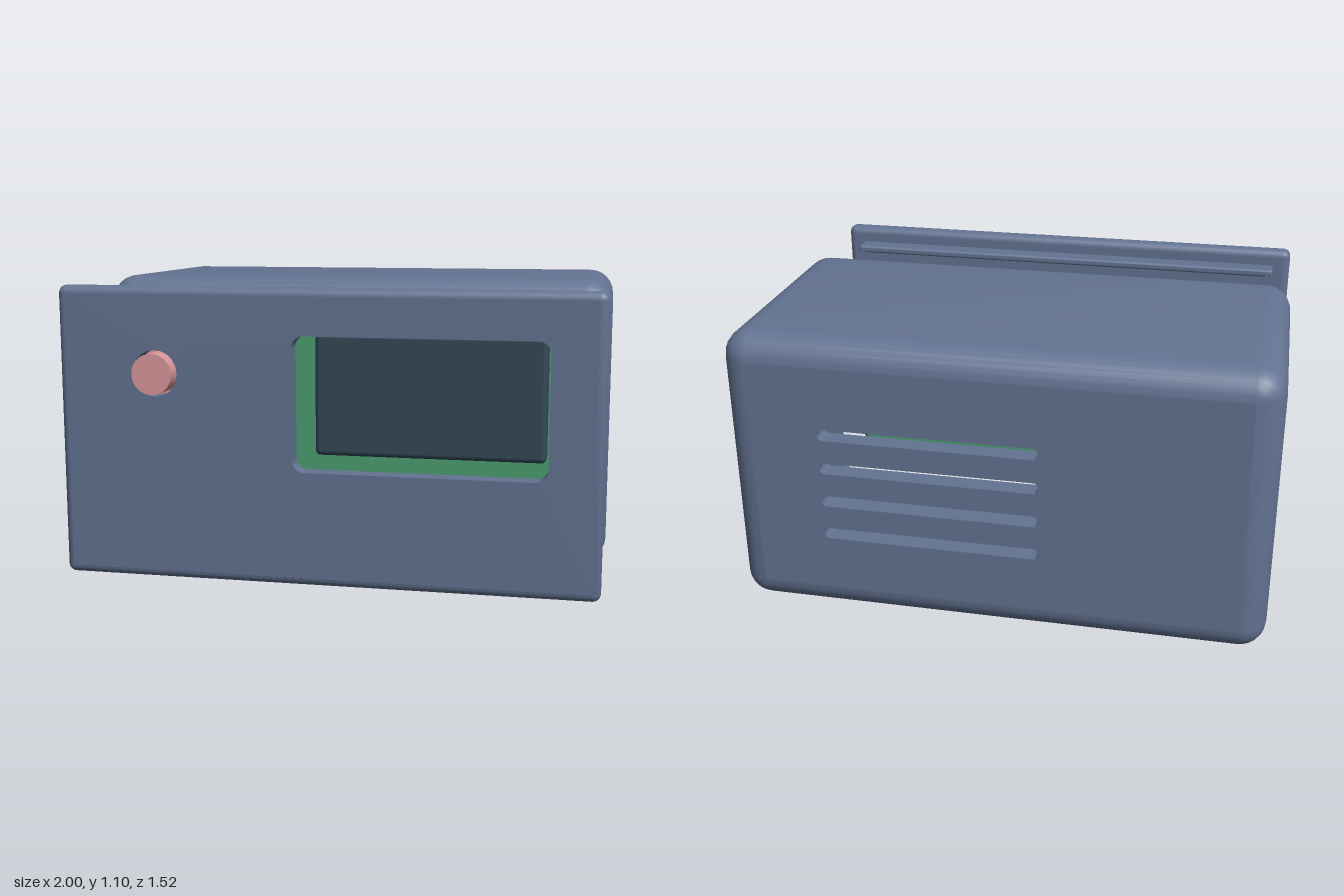
import * as THREE from 'three';
import { toCreasedNormals } from 'three/addons/utils/BufferGeometryUtils.js';
import { RoundedBoxGeometry } from 'three/addons/geometries/RoundedBoxGeometry.js';

const N = 6; // segments per rounded corner

const material = (name, color) => {
  const m = new THREE.MeshStandardMaterial({ color });
  m.name = name;
  return m;
};

// Rounded rectangle outline, given its limits
function roundRect(target, x0, x1, y0, y1, r) {
  target.absarc(x1 - r, y1 - r, r, 0, Math.PI / 2);
  target.absarc(x0 + r, y1 - r, r, Math.PI / 2, Math.PI);
  target.absarc(x0 + r, y0 + r, r, Math.PI, Math.PI * 1.5);
  target.absarc(x1 - r, y0 + r, r, Math.PI * 1.5, Math.PI * 2);
  target.closePath();
  return target;
}

// Flat plate with holes, extruded along +z
function plate(x0, x1, y0, y1, depth, holes) {
  const shape = new THREE.Shape([[x0, y0], [x1, y0], [x1, y1], [x0, y1]].map(p => new THREE.Vector2(...p)));
  shape.holes.push(...holes);
  return new THREE.ExtrudeGeometry(shape, { depth, bevelEnabled: false, curveSegments: 10 });
}

// Skin through rounded rectangles; each profile point is [inset, z]
function loft(profile, halfW, halfH, cy, r, skip = () => false) {
  const pos = [], index = [], M = 4 * (N + 1);
  for (const [inset, z] of profile) {
    const cr = Math.max(r - inset, 0.0005);
    for (let c = 0; c < 4; c++) {
      const sx = c === 0 || c === 3 ? 1 : -1, sy = c < 2 ? 1 : -1;
      for (let i = 0; i <= N; i++) {
        const a = (c + i / N) * Math.PI / 2;
        pos.push(sx * (halfW - inset - cr) + cr * Math.cos(a),
          cy + sy * (halfH - inset - cr) + cr * Math.sin(a), z);
      }
    }
  }
  for (let k = 0; k < profile.length - 1; k++) {
    for (let j = 0; j < M; j++) {
      if (skip(k, j)) continue;
      const a = k * M + j, b = k * M + (j + 1) % M;
      index.push(a, b, b + M, a, b + M, a + M);
    }
  }
  const g = new THREE.BufferGeometry();
  g.setAttribute('position', new THREE.Float32BufferAttribute(pos, 3));
  g.setIndex(index);
  return toCreasedNormals(g, 0.6);
}

export function createModel() {
  const model = new THREE.Group();
  const casing = material('slate casing', 0x637392);
  const green = material('board green', 0x4c9f70);
  const dark = material('screen dark', 0x324857);
  const pink = material('button pink', 0xd9979c);

  const group = name => {
    const g = new THREE.Group();
    g.name = name;
    model.add(g);
    return g;
  };
  const add = (parent, name, geometry, mat, x = 0, y = 0, z = 0) => {
    const m = new THREE.Mesh(geometry, mat);
    m.name = name;
    m.position.set(x, y, z);
    parent.add(m);
    return m;
  };
  const roundedBox = (parent, name, mat, [x0, x1], [y0, y1], [z0, z1], r) =>
    add(parent, name, new RoundedBoxGeometry(x1 - x0, y1 - y0, z1 - z0, 3, r), mat,
      (x0 + x1) / 2, (y0 + y1) / 2, (z0 + z1) / 2);

  // Hollow housing, open at the front
  const housing = group('housing');
  const R = 0.1, WALL = 0.07, BACK = -0.76, FRONT = 0.25;
  const profile = [];
  for (let i = 0; i <= N; i++) {
    const t = i / N * Math.PI / 2;
    profile.push([R * (1 - Math.sin(t)), BACK + R * (1 - Math.cos(t))]);
  }
  const rimAngle = Math.acos(1 - WALL / R);
  for (let i = 0; i <= N; i++) {
    const t = i / N * rimAngle;
    profile.push([R * (1 - Math.cos(t)), FRONT - R + R * Math.sin(t)]);
  }
  profile.push([WALL, FRONT - R], [WALL, BACK + R], [WALL, BACK + WALL], [R, BACK + WALL]);
  // leave the flat of the -x wall free for the plate with the port
  const sideFlat = (k, j) => j === 2 * N + 1 && Math.abs(profile[k + 1][1] - profile[k][1]) > 0.5;
  add(housing, 'housingShell', loft(profile, 1, 0.55, 0.55, R, sideFlat), casing);

  // Back wall with four vent slots
  const slots = [0.335, 0.47, 0.605, 0.74].map(y =>
    roundRect(new THREE.Path(), -0.17, 0.645, y - 0.022, y + 0.022, 0.0215));
  add(housing, 'ventedBackWall', plate(-0.9, 0.9, 0.1, 1.0, WALL, slots), casing, 0, 0, BACK);

  // Side wall with the cable port
  const port = roundRect(new THREE.Path(), -0.1, 0.14, 0.42, 0.66, 0.035);
  const side = add(housing, 'portSideWall',
    plate(BACK + R, FRONT - R, 0.1, 1.0, WALL, [port]), casing, -1 + WALL);
  side.rotation.y = -Math.PI / 2;

  // Front panel: rounded rim around a plate with window and button hole
  const panel = group('frontPanel');
  const P = 0.03, Z0 = 0.655, Z1 = 0.725;
  const rim = [];
  for (let i = 0; i <= 2 * N; i++) {
    const t = i / N * Math.PI / 2;
    const z = i <= N ? Z0 + P * (1 - Math.cos(t)) : Z1 - P * (1 + Math.cos(t));
    rim.push([P * (1 - Math.sin(t)), z]);
    if (i === N) rim.push([0, Z1 - P]);
  }
  add(panel, 'panelRim', loft(rim, 0.99, 0.54, 0.55, P), casing);
  const windowHole = roundRect(new THREE.Path(), -0.11, 0.8, 0.43, 0.92, 0.045);
  const buttonHole = new THREE.Path().absarc(-0.62, 0.775, 0.085, 0, Math.PI * 2);
  add(panel, 'panelPlate', plate(-0.96, 0.96, 0.04, 1.06, Z1 - Z0, [windowHole, buttonHole]), casing, 0, 0, Z0);

  // Lips that slide into the housing
  for (const y of [0.08, 0.995]) {
    roundedBox(panel, 'horizontalLip', casing, [-0.92, 0.92], [y, y + 0.03], [0.58, 0.665], 0.01);
  }
  for (const s of [-1, 1]) {
    add(panel, 'sideLip', new THREE.BoxGeometry(0.03, 0.89, 0.08), casing, s * 0.905, 0.555, 0.62);
  }

  // Push button with a retaining flange behind the panel
  const button = group('pushButton');
  for (const [name, r, z0, z1] of [['buttonCap', 0.075, 0.64, 0.76], ['buttonFlange', 0.125, 0.615, 0.65]]) {
    const g = new THREE.CylinderGeometry(r, r, z1 - z0, 48).rotateX(Math.PI / 2);
    add(button, name, g, pink, -0.62, 0.775, (z0 + z1) / 2);
  }

  // Circuit board with screen and switch
  const board = group('circuitBoard');
  roundedBox(board, 'board', green, [-0.86, 0.86], [0.14, 0.97], [0.355, 0.405], 0.015);
  roundedBox(board, 'screen', dark, [-0.085, 0.78], [0.445, 0.91], [0.4, 0.477], 0.02);
  roundedBox(board, 'switch', pink, [-0.69, -0.555], [0.708, 0.843], [0.4, 0.484], 0.01);

  return model;
}
